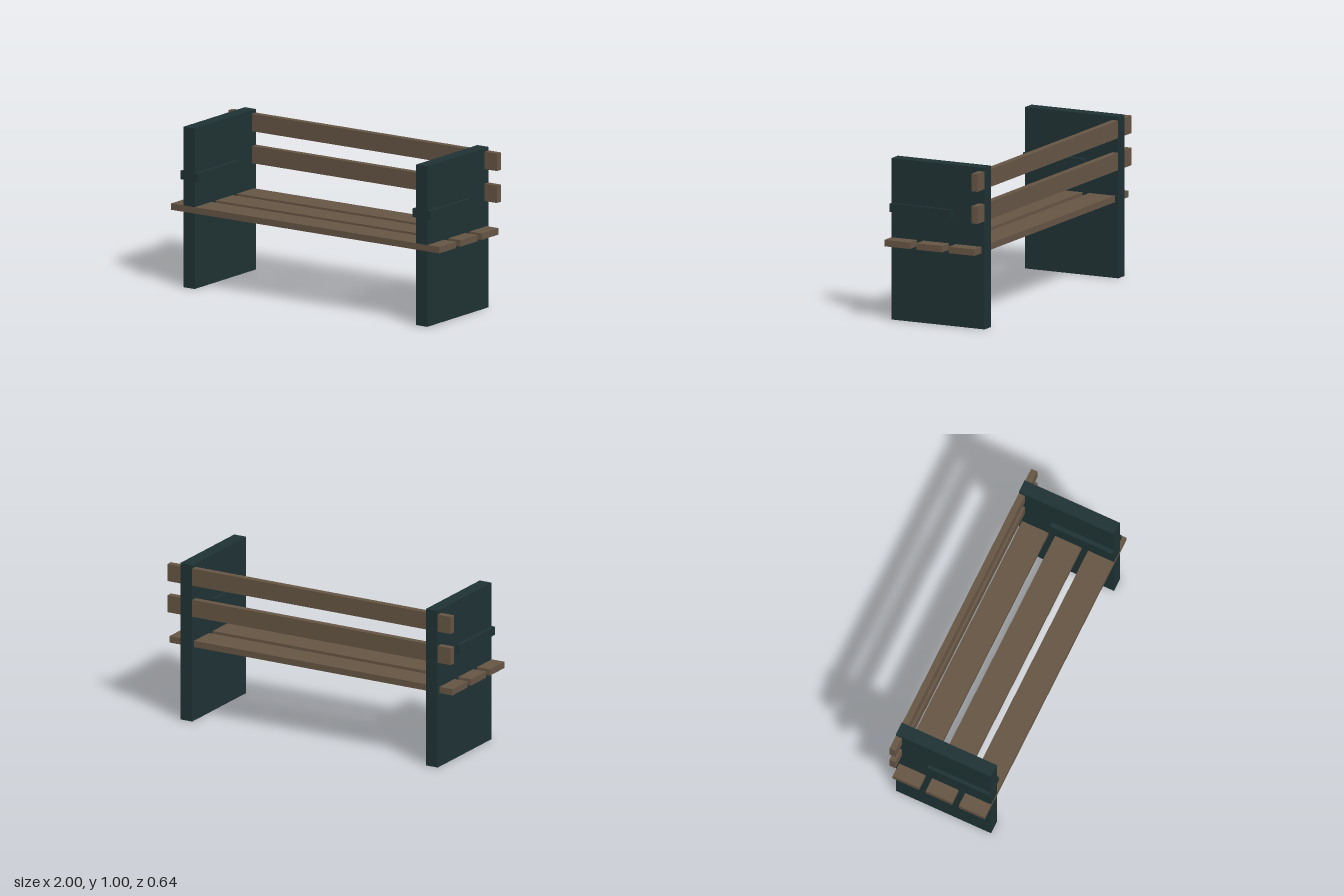
import * as THREE from 'three';

const wood = new THREE.MeshStandardMaterial({ color: 0x665544 });
const paint = new THREE.MeshStandardMaterial({ color: 0x1f3234 });

// Box given by its extents along each axis
function block(name, material, [x0, x1], [y0, y1], [z0, z1]) {
  const mesh = new THREE.Mesh(new THREE.BoxGeometry(x1 - x0, y1 - y0, z1 - z0), material);
  mesh.position.set((x0 + x1) / 2, (y0 + y1) / 2, (z0 + z1) / 2);
  mesh.name = name;
  return mesh;
}

export function createModel() {
  const bench = new THREE.Group();
  bench.name = 'bench';

  // Solid end panels, each with an armrest rail passing through it
  for (const [side, s] of [['left', 1], ['right', -1]]) {
    const span = (a, b) => (s > 0 ? [a, b] : [-b, -a]);
    const end = new THREE.Group();
    end.name = side + 'End';
    end.add(
      block(side + 'Panel', paint, span(0.825, 0.909), [0, 1], [-0.32, 0.32]),
      block(side + 'Armrest', paint, span(0.797, 0.932), [0.67, 0.723], [-0.098, 0.32])
    );
    bench.add(end);
  }

  // Three seat slats, the front one a hair proud of the panels
  [[0.146, 0.3205], [-0.076, 0.101], [-0.298, -0.121]].forEach((z, i) =>
    bench.add(block('seatSlat' + (i + 1), wood, [-1, 1], [0.47, 0.51], z)));

  // Two backrest slats let into the rear edge of the panels
  [[0.67, 0.778], [0.869, 0.978]].forEach((y, i) =>
    bench.add(block('backSlat' + (i + 1), wood, [-1, 1], y, [-0.3195, -0.279])));

  return bench;
}
